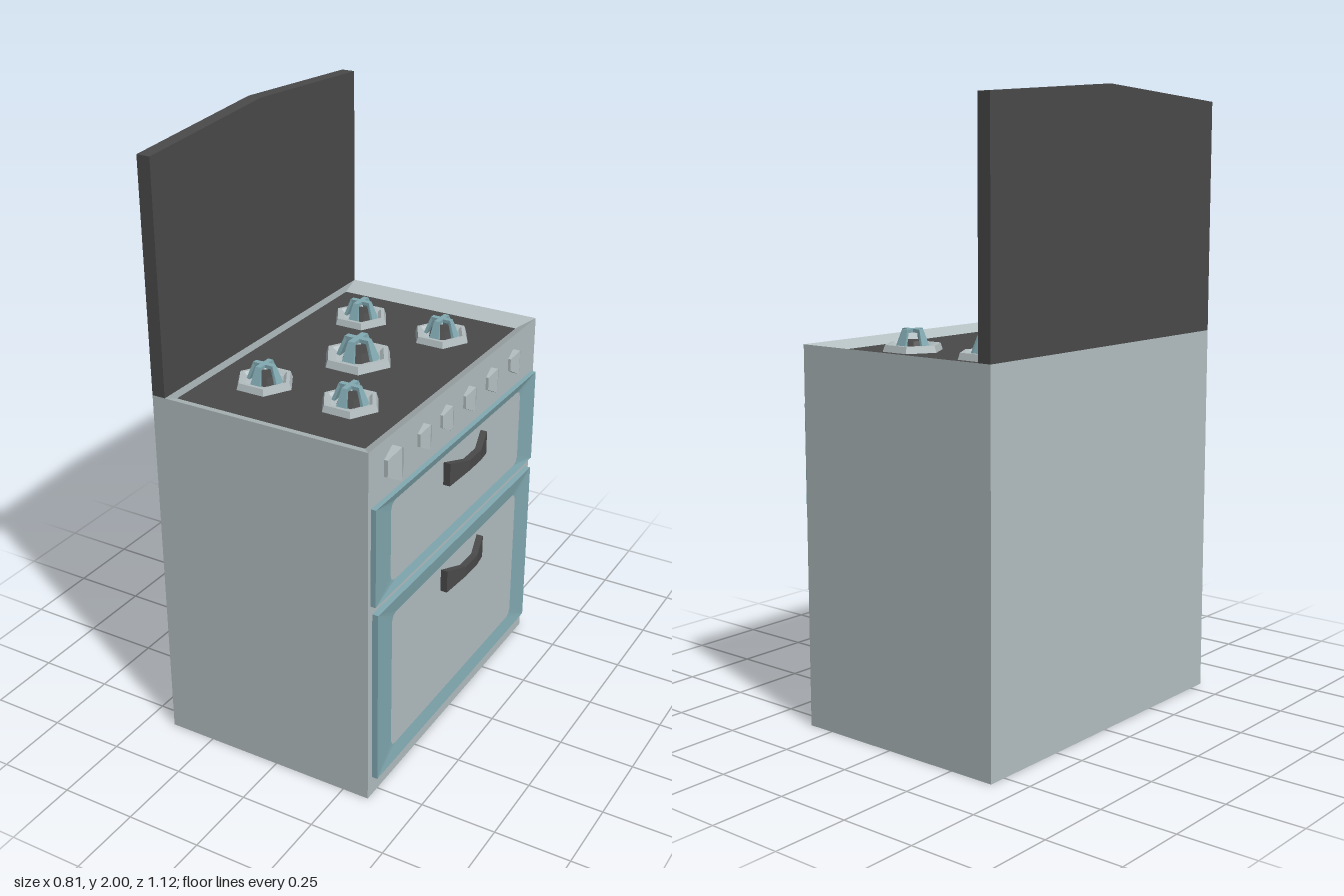
import * as THREE from 'three';

const mat = (name, color) => Object.assign(new THREE.MeshStandardMaterial({ color }), { name });
const V = (x, y, z) => new THREE.Vector3(x, y, z);

// Faceted skin over matching loops, each wound counter-clockwise seen from the last loop's side
function loft(loops, capStart = true, capEnd = true) {
  const pos = [];
  const tri = (a, b, c) => {
    const area = b.clone().sub(a).cross(c.clone().sub(a)).length();
    if (area > 1e-9) for (const p of [a, b, c]) pos.push(p.x, p.y, p.z);
  };
  for (let k = 0; k + 1 < loops.length; k++) {
    const a = loops[k], b = loops[k + 1], n = a.length;
    for (let i = 0; i < n; i++) {
      const j = (i + 1) % n;
      tri(a[i], a[j], b[j]);
      tri(a[i], b[j], b[i]);
    }
  }
  const first = loops[0], last = loops[loops.length - 1];
  for (let i = 1; i + 1 < first.length; i++) {
    if (capStart) tri(first[0], first[i + 1], first[i]);
    if (capEnd) tri(last[0], last[i], last[i + 1]);
  }
  const g = new THREE.BufferGeometry();
  g.setAttribute('position', new THREE.Float32BufferAttribute(pos, 3));
  g.computeVertexNormals();
  return g;
}

function flat(geometry) {
  const g = geometry.toNonIndexed();
  g.computeVertexNormals();
  return g;
}

// Horizontal rectangle
const floorRect = (x0, x1, hz, y) => [V(x0, y, hz), V(x1, y, hz), V(x1, y, -hz), V(x0, y, -hz)];

// Upright rectangle facing +x, with corners cut by r
function frontRect(x, hz, y0, y1, r = 0) {
  const q = 0.3 * r;
  return [
    [hz, y0 + r], [hz - q, y0 + q], [hz - r, y0],
    [-hz + r, y0], [-hz + q, y0 + q], [-hz, y0 + r],
    [-hz, y1 - r], [-hz + q, y1 - q], [-hz + r, y1],
    [hz - r, y1], [hz - q, y1 - q], [hz, y1 - r],
  ].map(([z, y]) => V(x, y, z));
}

export function createModel() {
  const grey = mat('lightGreyEnamel', 0xb3bec0);
  const teal = mat('tealTrim', 0x82aab2);
  const dark = mat('charcoal', 0x4a4a4a);
  const model = new THREE.Group();
  model.name = 'cooker';
  const add = (name, geometry, material, parent = model) => {
    const m = new THREE.Mesh(geometry, material);
    m.name = name;
    parent.add(m);
    return m;
  };

  const TOP = 1.22, HOB = 1.195, FRONT = 0.34;

  // Cabinet with a rim sloping down to the hob
  add('cabinet', loft([
    floorRect(-0.405, FRONT, 0.56, 0),
    floorRect(-0.405, FRONT, 0.56, TOP),
    floorRect(-0.36, FRONT, 0.56, TOP),
    floorRect(-0.36, 0.295, 0.5, HOB),
  ], true, false), grey);
  add('hobPlate', loft([floorRect(-0.36, 0.295, 0.5, HOB)], false, true), dark);

  // Splashback with a shallow peak
  const outline = new THREE.Shape([[-0.56, TOP], [0.56, TOP], [0.56, 1.962], [0, 2], [-0.56, 1.962]]
    .map(([x, y]) => new THREE.Vector2(x, y)));
  const splash = new THREE.ExtrudeGeometry(outline, { depth: 0.045, bevelEnabled: false });
  splash.rotateY(Math.PI / 2).translate(-0.405, 0, 0);
  add('splashback', splash, dark);

  // Burners: hexagonal dish, cap and crossed pan supports
  const dish = flat(new THREE.LatheGeometry(
    [[0.097, 0], [0.09, 0.021], [0.077, 0.021], [0.066, 0.012], [0.03, 0.004]]
      .map(([r, y]) => new THREE.Vector2(r, y)), 6, Math.PI / 2));
  const cap = flat(new THREE.CylinderGeometry(0.034, 0.044, 0.028, 8)).translate(0, 0.018, 0);
  // Stations: outer r, outer y, inner r, inner y, half width
  const half = [[0.057, 0.008, 0.046, 0.008, 0.018], [0.035, 0.068, 0.029, 0.057, 0.009]];
  const station = ([r, y, ri, yi, w], s) =>
    [V(s * ri, yi, w), V(s * ri, yi, -w), V(s * r, y, -w), V(s * r, y, w)];
  const arch = loft([
    station(half[0], -1), station(half[1], -1), station(half[1], 1), station(half[0], 1),
  ]);
  const burners = [[-0.03, -0.018, 1.22]];
  for (const x of [-0.19, 0.115]) for (const z of [-0.312, 0.277]) burners.push([x, z, 1]);
  for (const [x, z, s] of burners) {
    const burner = new THREE.Group();
    burner.name = 'burner';
    burner.position.set(x, HOB, z);
    burner.scale.set(s, s > 1 ? 1.15 : 1, s);
    add('burnerDish', dish, grey, burner);
    add('burnerCap', cap, dark, burner);
    add('panSupport', arch, teal, burner);
    add('panSupport', arch, teal, burner).rotation.y = Math.PI / 2;
    model.add(burner);
  }

  // Bowed handle, thinner in the middle
  const handle = loft([
    [-0.127, 0.002, 0.025, 0.039],
    [-0.04, 0.026, 0.048, 0.018],
    [0.04, 0.026, 0.048, 0.018],
    [0.127, 0.002, 0.025, 0.039],
  ].map(([z, x0, x1, h]) => [V(x0, -h, z), V(x1, -h, z), V(x1, h, z), V(x0, h, z)]));

  // Doors: frame sloping in to a window, plus handle
  const doors = [
    { name: 'grillDoor', x: 0.357, outer: [0.545, 0.705, 1.033], inner: [0.442, 0.732, 1.006], grip: 0.957 },
    { name: 'ovenDoor', x: 0.36, outer: [0.535, 0.068, 0.672], inner: [0.435, 0.12, 0.617], grip: 0.572 },
  ];
  for (const { name, x, outer, inner, grip } of doors) {
    const door = new THREE.Group();
    door.name = name;
    const pane = frontRect(x - 0.008, ...inner, 0.025);
    add('doorFrame', loft([frontRect(FRONT, ...outer), frontRect(x, ...outer), pane], false, false), teal, door);
    add('doorWindow', loft([pane], false, true), grey, door);
    add('doorHandle', handle, dark, door).position.set(0.355, grip, 0);
    model.add(door);
  }

  // Hexagonal knobs with an upright ridge
  const knobLoop = (r, side, ridge) => Array.from({ length: 6 }, (_, i) => {
    const a = Math.PI / 2 + i * Math.PI / 3;
    return V(i % 3 === 0 ? ridge : side, Math.sin(a) * r, -Math.cos(a) * r);
  });
  const knobs = [[0.422, 0.055], [0.232, 0.042], [0.087, 0.042], [-0.067, 0.042], [-0.225, 0.042], [-0.39, 0.042]];
  for (const [z, r] of knobs) {
    const knob = loft([knobLoop(r, 0, 0), knobLoop(r, r * 0.22, r * 0.58)]);
    add('controlKnob', knob, grey).position.set(FRONT, 1.13, z);
  }

  return model;
}
